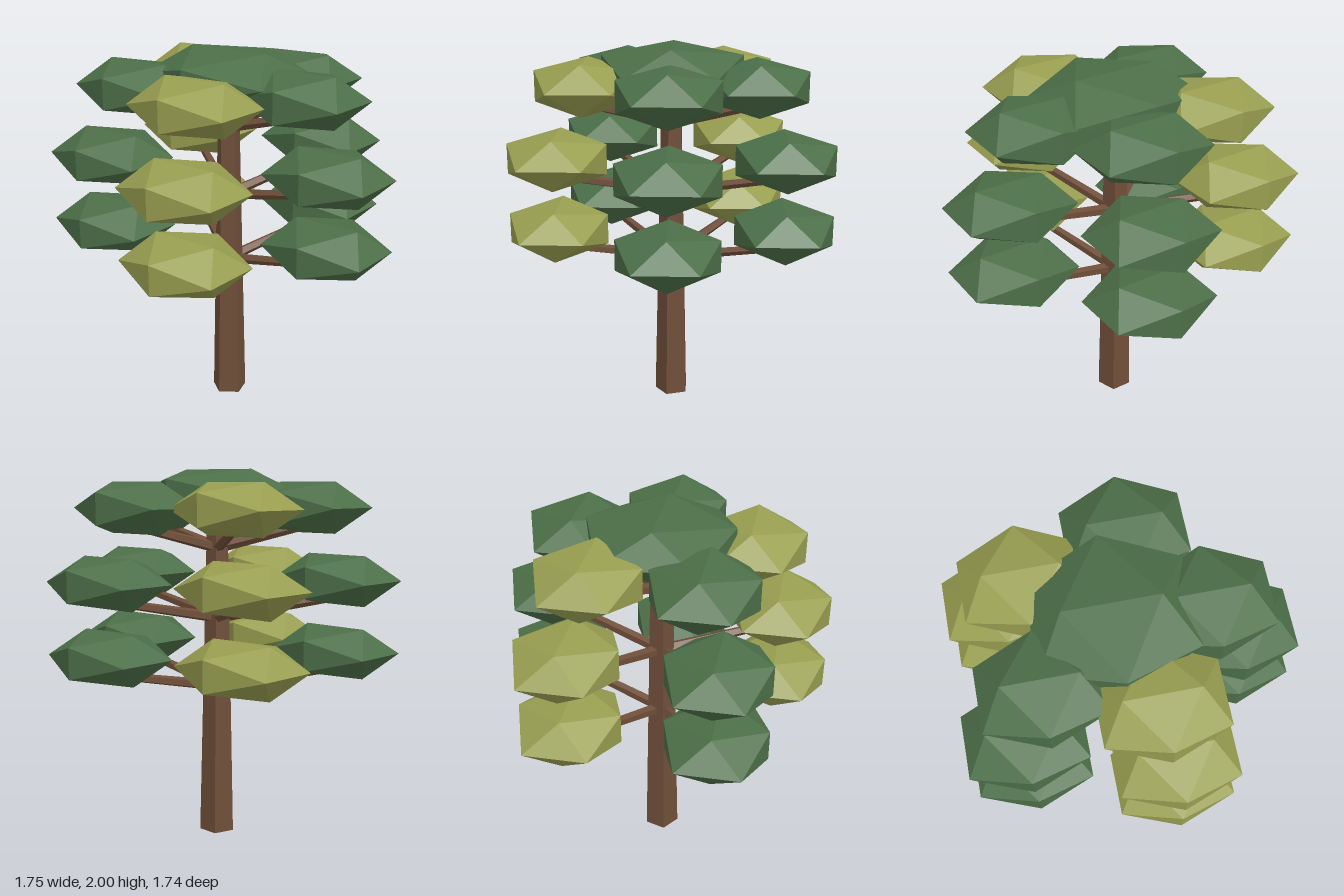
import * as THREE from 'three';

const AXIS_X = -0.065; // the trunk stands slightly off centre

const bark = new THREE.MeshStandardMaterial({ color: 0x6f4e39 });
bark.name = 'bark brown';
const green = new THREE.MeshStandardMaterial({ color: 0x4c6f48 });
green.name = 'leaf green';
const olive = new THREE.MeshStandardMaterial({ color: 0x989e50 });
olive.name = 'leaf olive';

// Five-sided tapered limb between two points, with faceted normals
function limb(name, from, to, rFrom, rTo) {
  const dir = to.clone().sub(from);
  const geo = new THREE.CylinderGeometry(rTo, rFrom, dir.length(), 5).toNonIndexed();
  geo.computeVertexNormals();
  const mesh = new THREE.Mesh(geo, bark);
  mesh.name = name;
  mesh.position.copy(from).add(to).multiplyScalar(0.5);
  mesh.quaternion.setFromUnitVectors(new THREE.Vector3(0, 1, 0), dir.normalize());
  return mesh;
}

// Flattened icosahedron leaf clump
const clumpGeo = new THREE.IcosahedronGeometry(1, 0);
function clump(name, material, position, rx, ry, rz) {
  const mesh = new THREE.Mesh(clumpGeo, material);
  mesh.name = name;
  mesh.position.copy(position);
  mesh.scale.set(rx, ry, rz);
  return mesh;
}

export function createModel() {
  const tree = new THREE.Group();
  tree.name = 'tree';

  const at = (angle, radius, y) =>
    new THREE.Vector3(AXIS_X + Math.cos(angle) * radius, y, Math.sin(angle) * radius);

  tree.add(limb('trunk', at(0, 0, 0), at(0, 0, 1.82), 0.098, 0.057));

  // Three tiers of five branches, each carrying a leaf clump
  const tiers = [
    { y: 1.037, reach: 0.637, start: 0.825 },
    { y: 1.422, reach: 0.637, start: 1.205 },
    { y: 1.802, reach: 0.477, start: 1.585 },
  ];
  tiers.forEach(({ y, reach, start }, t) => {
    const tier = new THREE.Group();
    tier.name = `tier${t + 1}`;
    for (let i = 0; i < 5; i++) {
      const angle = (i / 5) * Math.PI * 2;
      const leaf = i % 2 === 1 ? olive : green;
      tier.add(limb('branch', at(angle, 0, start), at(angle, reach, y - 0.095), 0.031, 0.022));
      tier.add(clump('leafClump', leaf, at(angle, reach, y), 0.354, 0.156, 0.312));
    }
    tree.add(tier);
  });

  // Wide clump closing the top
  tree.add(clump('crown', green, at(0, 0, 1.868), 0.455, 0.156, 0.448));

  // The second and fourth clumps of the ring take the olive tone
  tree.traverse((part) => {
    if (part.isMesh) part.updateMatrix();
  });
  return tree;
}
